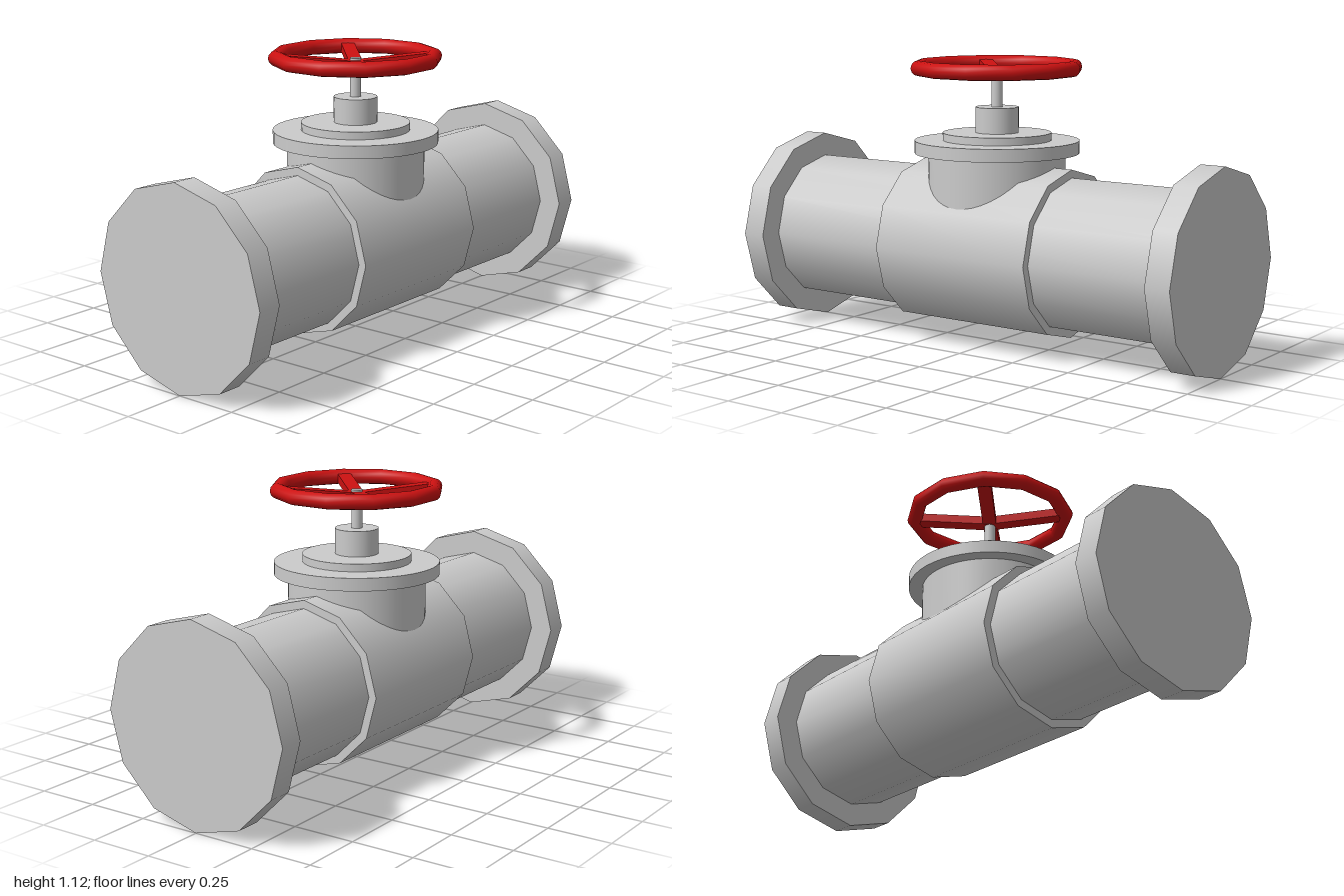
import * as THREE from 'three';

export function createModel() {
  const valve = new THREE.Group();
  valve.name = 'gateValve';
  const grey = new THREE.MeshStandardMaterial({ color: 0xcccccc });
  const red = new THREE.MeshStandardMaterial({ color: 0xcc1111 });
  const axisY = 0.39;

  const add = (parent, name, geometry, material) => {
    const mesh = new THREE.Mesh(geometry, material);
    mesh.name = name;
    parent.add(mesh);
    return mesh;
  };

  // Twelve-sided cylinder lying along x
  const along = (name, radius, length, x = 0) => {
    const geometry = new THREE.CylinderGeometry(radius, radius, length, 12);
    geometry.rotateZ(Math.PI / 2);
    add(valve, name, geometry, grey).position.set(x, axisY, 0);
  };

  // Round upright cylinder between two heights
  const upright = (name, radius, y0, y1, sides = 48) => {
    const geometry = new THREE.CylinderGeometry(radius, radius, y1 - y0, sides);
    add(valve, name, geometry, grey).position.y = (y0 + y1) / 2;
  };

  // Pipe run, valve body and end flanges
  along('pipe', 0.296, 1.9);
  along('valveBody', 0.328, 0.7);
  along('leftFlange', 0.39, 0.1, 0.95);
  along('rightFlange', 0.39, 0.1, -0.95);

  // Bonnet stack and stem
  upright('bonnetNeck', 0.27, 0.45, 0.77);
  upright('bonnetFlange', 0.324, 0.76, 0.81);
  upright('bonnetCover', 0.213, 0.8, 0.84);
  upright('packingGland', 0.085, 0.83, 0.94);
  upright('stem', 0.022, 0.93, 1.09, 16);

  // Handwheel: twelve-sided rim with a flat side on each axis
  const wheel = new THREE.Group();
  wheel.name = 'handwheel';
  valve.add(wheel);
  const rimY = 1.093;
  const rimRadius = 0.309;
  const rim = new THREE.TorusGeometry(rimRadius, 0.03, 12, 12);
  rim.rotateX(Math.PI / 2).rotateY(Math.PI / 4);
  add(wheel, 'rim', rim, red).position.y = rimY;

  // Spokes rise from the hub to the rim
  const rise = 0.03;
  const length = Math.hypot(rimRadius, rise);
  for (let i = 0; i < 4; i++) {
    const spoke = new THREE.BoxGeometry(length, 0.034, 0.054);
    spoke.translate(length / 2, 0, 0);
    spoke.rotateZ(Math.atan2(rise, rimRadius));
    spoke.rotateY(Math.PI / 4 + (i * Math.PI) / 2);
    add(wheel, 'spoke' + (i + 1), spoke, red).position.y = rimY - rise;
  }

  return valve;
}
